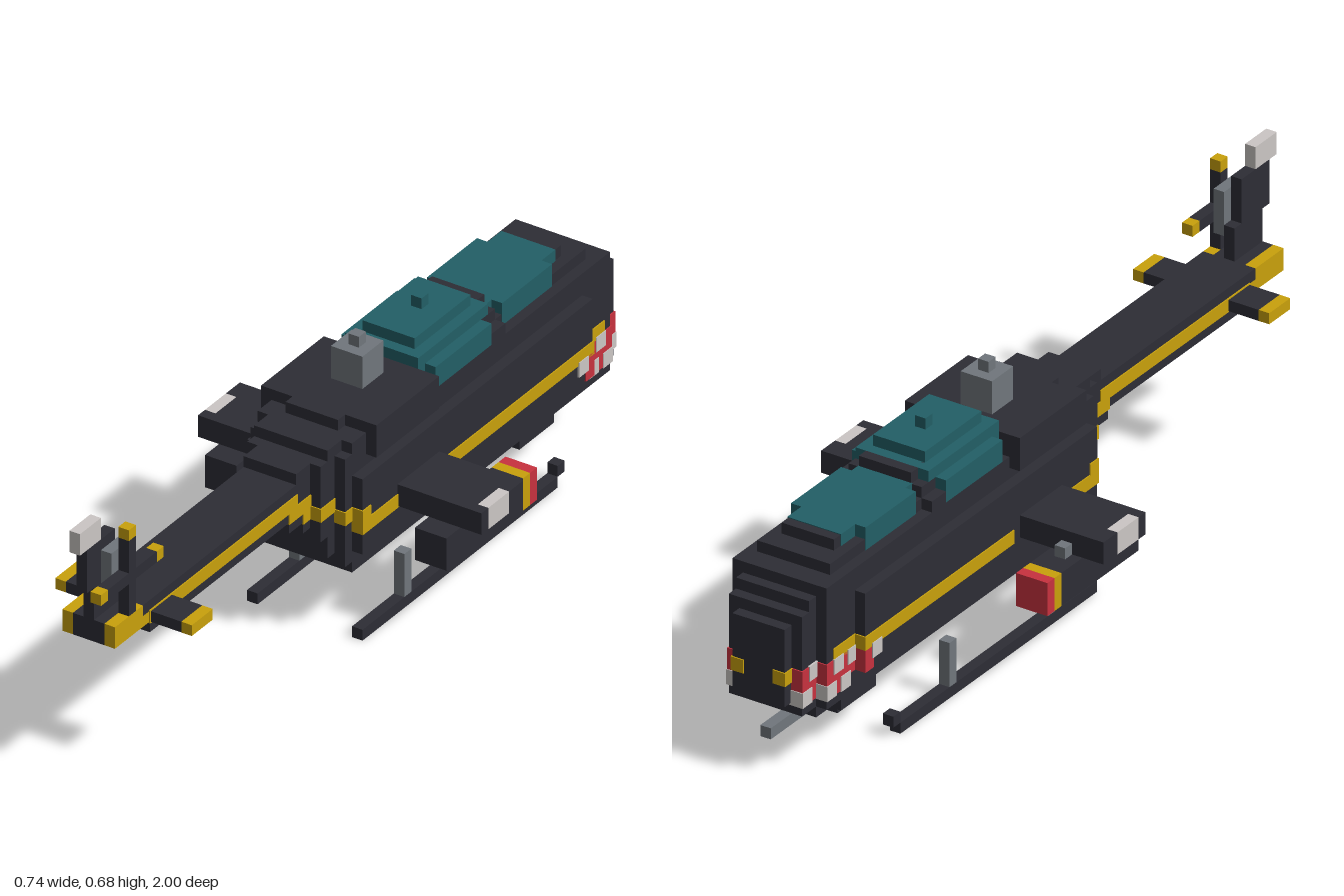
import * as THREE from 'three';

const V = 2 / 73; // one block

function material(name, color) {
  const m = new THREE.MeshStandardMaterial({ color });
  m.name = name;
  return m;
}

export function createModel() {
  const model = new THREE.Group();
  model.name = 'helicopter';
  const dark = material('charcoal', 0x2d2d35);
  const yellow = material('yellow', 0xc9a10c);
  const teal = material('teal glass', 0x225f66);
  const grey = material('grey', 0x70767c);
  const white = material('off white', 0xcbc6c4);
  const red = material('red', 0xc8323f);

  // Box over whole blocks: inclusive ranges [first, last]; x is centred, z counts from the nose
  function block(name, mat, [x0, x1], [y0, y1], [z0, z1], grow = 0) {
    const g = new THREE.BoxGeometry(
      (x1 - x0 + 1) * V + grow, (y1 - y0 + 1) * V + grow, (z1 - z0 + 1) * V + grow);
    const mesh = new THREE.Mesh(g, mat);
    mesh.name = name;
    mesh.position.set((x0 + x1) / 2 * V, (y0 + y1 + 1) / 2 * V, (z0 + z1 + 1) / 2 * V - 1);
    model.add(mesh);
  }
  function pair(name, mat, [x0, x1], y, z, grow) {
    block(name + 'Left', mat, [x0, x1], y, z, grow);
    block(name + 'Right', mat, [-x1, -x0], y, z, grow);
  }

  // Fuselage: rows of [height, half width, first z, last z], limited by the plan outline
  const rows = [
    [5, 3, 3, 37], [6, 4, 1, 39], [7, 4, 0, 40], [8, 5, 0, 41], [9, 5, 0, 41],
    [10, 5, 0, 42], [11, 5, 0, 43], [12, 5, 0, 45], [13, 5, 0, 45], [14, 5, 1, 45],
    [15, 4, 2, 45], [16, 4, 3, 44], [17, 3, 5, 41], [18, 2, 7, 38],
  ];
  const plan = [[0, 2], [2, 3], [6, 4], [39, 5], [40, 4], [42, 3], [99, 2]];
  const planWidth = z => plan.find(p => z <= p[0])[1];
  function runs(limit, z0, z1, fn) {
    for (let a = z0; a <= z1;) {
      const w = Math.min(limit, planWidth(a));
      let b = a;
      while (b < z1 && Math.min(limit, planWidth(b + 1)) === w) b++;
      fn(w, a, b);
      a = b + 1;
    }
  }
  for (const [y, limit, z0, z1] of rows)
    runs(limit, z0, z1, (w, a, b) => block('fuselage', dark, [-w, w], [y, y], [a, b]));

  // Paint on the outer blocks of a fuselage row
  function paint(name, mat, y, z0, z1, grow = 0.006) {
    const limit = rows.find(r => r[0] === y)[1];
    runs(limit, z0, z1, (w, a, b) => pair(name, mat, [w, w], [y, y], [a, b], grow));
  }
  paint('sideStripe', yellow, 10, 4, 27);
  paint('sideStripe', yellow, 10, 35, 39);
  paint('sideStripe', yellow, 11, 39, 40);
  paint('sideStripe', yellow, 12, 41, 43);
  paint('sideStripe', yellow, 13, 43, 45);
  paint('noseSpot', yellow, 9, 0, 0);

  // Mouth and teeth
  paint('mouth', red, 9, 1, 8);
  paint('mouth', red, 8, 1, 7);
  paint('mouth', red, 7, 1, 5);
  for (const z of [2, 4, 6, 8]) paint('upperTooth', white, 9, z, z, 0.01);
  for (const z of [1, 3, 5]) paint('lowerTooth', white, 7, z, z, 0.01);

  // Engine housing and mast
  block('engineHousing', dark, [-5, 5], [16, 18], [29, 37]);
  block('engineHousing', dark, [-4, 4], [16, 17], [38, 39]);
  block('engineHousing', dark, [-3, 3], [16, 16], [40, 42]);
  block('mast', grey, [-1, 1], [19, 21], [31, 33]);
  block('mastCap', grey, [0, 0], [22, 22], [32, 32]);

  // Canopies
  block('frontCanopy', teal, [-3, 3], [17, 17], [10, 16], 0.004);
  block('frontCanopy', teal, [-2, 2], [17, 18], [8, 17], 0.004);
  block('frontCanopy', teal, [-3, 3], [18, 18], [10, 16], 0.004);
  block('canopyFrame', dark, [-4, 4], [17, 17], [18, 19]);
  block('canopyFrame', dark, [-3, 3], [18, 18], [18, 19]);
  block('canopyFrame', dark, [-2, 2], [19, 19], [18, 19]);
  block('rearCanopy', teal, [-4, 4], [17, 18], [20, 27]);
  block('rearCanopy', teal, [-3, 3], [17, 19], [19, 28]);
  block('rearCanopy', teal, [-2, 2], [20, 20], [20, 27]);
  block('canopyKnob', teal, [0, 0], [21, 21], [23, 23]);

  // Chin turret and gun
  block('turret', dark, [-2, 2], [3, 4], [8, 12]);
  block('turret', dark, [-2, 2], [4, 4], [7, 12]);
  block('turretBase', dark, [-1, 1], [2, 2], [9, 10]);
  block('gun', grey, [0, 0], [3, 3], [1, 7]);

  // Wings with white tips
  pair('wing', dark, [5, 12], [10, 11], [29, 34]);
  pair('wingTipFront', dark, [13, 13], [10, 11], [29, 30]);
  pair('wingTipRear', dark, [13, 13], [10, 11], [34, 34]);
  pair('wingTipLight', white, [13, 13], [10, 11], [31, 33]);

  // Pods under the wings
  pair('pod', dark, [9, 11], [7, 9], [26, 36]);
  pair('podBand', yellow, [9, 11], [7, 9], [25, 25]);
  pair('podNose', red, [9, 11], [7, 9], [24, 24]);
  pair('podFitting', grey, [10, 10], [10, 10], [28, 28]);

  // Landing skids
  pair('skid', dark, [5, 5], [0, 0], [12, 39]);
  pair('skidTip', dark, [5, 5], [1, 1], [11, 11]);
  for (const z of [19, 33]) pair('skidStrut', grey, [5, 5], [1, 4], [z, z]);

  // Tail boom with stripe
  block('tailBoom', dark, [-2, 2], [13, 15], [45, 65]);
  block('tailEnd', dark, [-1, 1], [14, 15], [66, 70]);
  pair('tailEndSide', yellow, [2, 2], [14, 15], [67, 70]);
  pair('tailEndTop', dark, [2, 2], [15, 15], [66, 66]);
  pair('tailEndLow', yellow, [2, 2], [14, 14], [66, 66]);
  pair('boomStripe', yellow, [2, 2], [14, 14], [45, 65], 0.006);

  // Stabilizer
  pair('stabilizer', dark, [3, 5], [14, 14], [63, 65]);
  pair('stabilizerTip', yellow, [6, 6], [14, 14], [63, 65]);

  // Tail fin
  block('tailFin', dark, [0, 0], [16, 18], [67, 70]);
  block('tailFin', dark, [0, 0], [19, 22], [68, 71]);
  block('tailFinTip', white, [0, 0], [23, 24], [70, 72]);

  // Tail rotor
  block('tailRotorHub', grey, [1, 1], [18, 21], [67, 69]);
  block('tailRotorBlade', dark, [2, 2], [16, 22], [68, 68]);
  block('tailRotorBlade', dark, [2, 2], [19, 19], [65, 71]);
  block('tailRotorTip', yellow, [2, 2], [23, 23], [68, 68]);
  for (const z of [64, 72]) block('tailRotorTip', yellow, [2, 2], [19, 19], [z, z]);

  return model;
}
